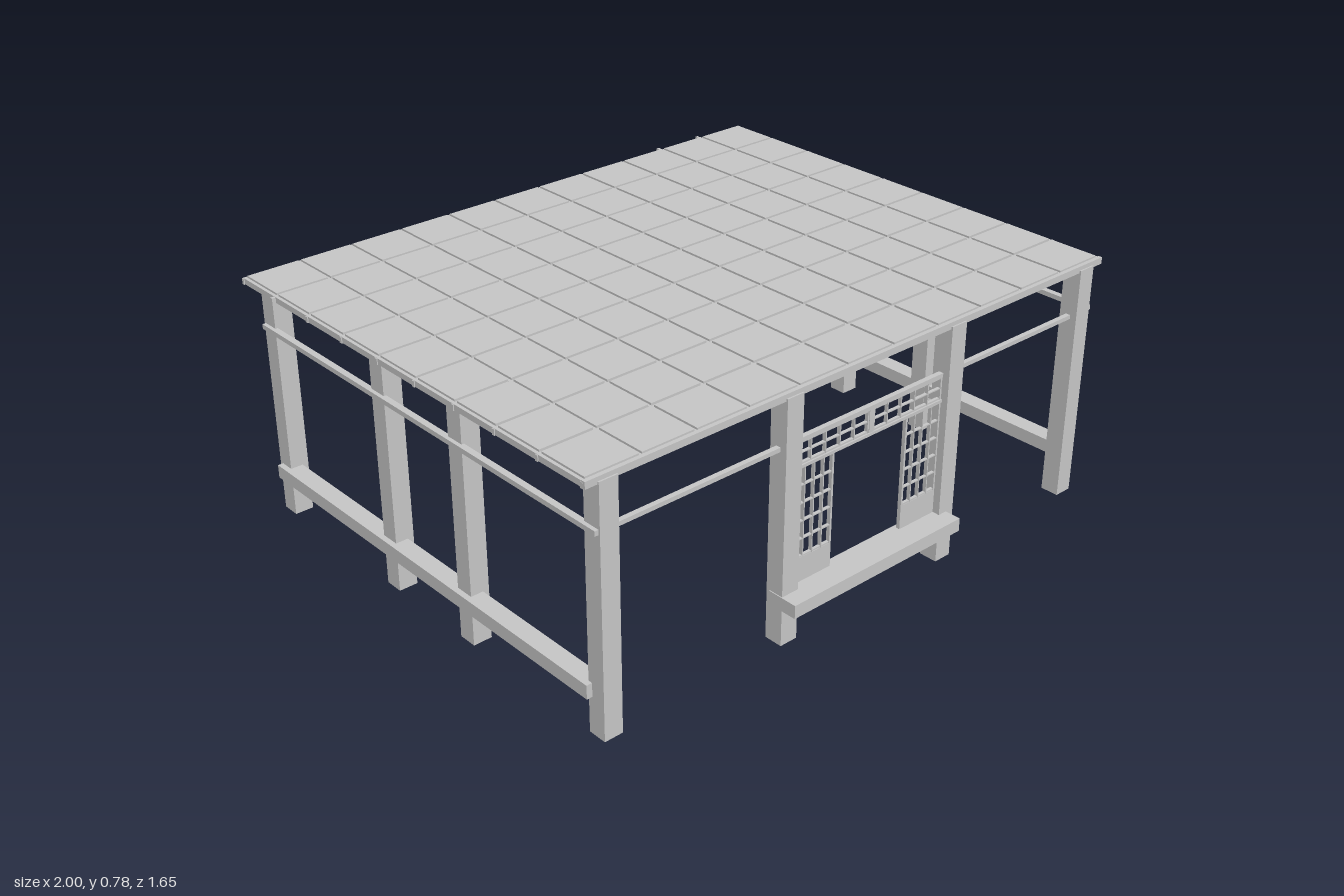
import * as THREE from 'three';

const timber = new THREE.MeshStandardMaterial({ color: 0xc4c4c4 });
timber.name = 'pale grey timber';

// Box given by its low and high corners
function block(parent, name, x0, x1, y0, y1, z0, z1) {
  const mesh = new THREE.Mesh(new THREE.BoxGeometry(x1 - x0, y1 - y0, z1 - z0), timber);
  mesh.position.set((x0 + x1) / 2, (y0 + y1) / 2, (z0 + z1) / 2);
  mesh.name = name;
  parent.add(mesh);
  return mesh;
}

function section(parent, name) {
  const group = new THREE.Group();
  group.name = name;
  parent.add(group);
  return group;
}

// Grid of thin bars with evenly spaced verticals and horizontals
function lattice(parent, name, x0, x1, y0, y1, z, columns, rows) {
  const group = section(parent, name);
  const w = 0.0035, d = 0.006;
  for (let i = 0; i <= columns; i++) {
    const x = THREE.MathUtils.lerp(x0 + w, x1 - w, i / columns);
    const half = i === 0 || i === columns ? w : w / 2;
    block(group, 'verticalBar', x - half, x + half, y0, y1, z - d, z + d);
  }
  for (let j = 0; j <= rows; j++) {
    const y = THREE.MathUtils.lerp(y0 + w, y1 - w, j / rows);
    const half = j === 0 || j === rows ? w : w / 2;
    block(group, 'horizontalBar', x0, x1, y - half, y + half, z - d * 0.8, z + d * 0.8);
  }
}

export function createModel() {
  const model = new THREE.Group();
  model.name = 'timberPavilion';

  // Posts: four down each side, two beside the doorway
  const posts = section(model, 'posts');
  const half = 0.03;
  const post = (name, x, z) => block(posts, name, x - half, x + half, 0, 0.765, z - half, z + half);
  for (const x of [-0.922, 0.915]) {
    for (const z of [0.743, 0.181, -0.179, -0.745]) post('sidePost', x, z);
  }
  for (const x of [-0.297, 0.342]) post('doorPost', x, 0.743);

  // Low beams and thin high rails along the sides
  const beams = section(model, 'beams');
  for (const [inner, outer] of [[-0.912, -0.97], [0.905, 0.963]]) {
    const side = Math.sign(outer);
    const lo = Math.min(inner, outer), hi = Math.max(inner, outer);
    block(beams, 'sideBeam', lo, hi, 0.117, 0.16, -0.762, 0.727);
    const edge = Math.abs(outer) - 0.006;
    const a = side * edge, b = side * (edge - 0.02);
    block(beams, 'sideRail', Math.min(a, b), Math.max(a, b), 0.617, 0.632, -0.768, 0.768);
  }
  block(beams, 'frontRail', -0.92, 0.915, 0.602, 0.615, 0.735, 0.751);
  block(beams, 'doorSill', -0.33, 0.343, 0.118, 0.16, 0.725, 0.826);

  // Doorway: transom over two half-open lattice doors
  const door = section(model, 'doorway');
  block(door, 'lintel', -0.267, 0.313, 0.523, 0.532, 0.733, 0.753);
  lattice(door, 'leftTransom', -0.267, 0.016, 0.53, 0.604, 0.743, 5, 2);
  lattice(door, 'rightTransom', 0.03, 0.313, 0.53, 0.604, 0.743, 5, 2);
  block(door, 'transomPost', 0.014, 0.032, 0.53, 0.604, 0.735, 0.751);
  for (const [x0, x1] of [[-0.267, -0.118], [0.168, 0.313]]) {
    block(door, 'doorPanel', x0, x1, 0.155, 0.237, 0.737, 0.749);
    lattice(door, 'doorLattice', x0, x1, 0.235, 0.525, 0.743, 4, 5);
  }

  // Roof: flat boards in a grid with battens in the gaps
  const roof = section(model, 'roof');
  const columns = 11, rows = 9, gap = 0.005;
  const left = -0.983, right = 0.985, back = -0.803, front = 0.757;
  const colX = i => left + (right - left) * i / columns;
  const rowZ = j => back + (front - back) * j / rows;
  for (let i = 0; i < columns; i++) {
    for (let j = 0; j < rows; j++) {
      block(roof, 'roofBoard', colX(i) + gap, colX(i + 1) - gap, 0.762, 0.781,
        rowZ(j) + gap, rowZ(j + 1) - gap);
    }
  }
  for (let i = 0; i <= columns; i++) {
    const overhang = i === 9 || i === 10 ? 0.022 : 0.004;
    block(roof, 'lengthBatten', colX(i) - gap, colX(i) + gap, 0.757, 0.775, back - overhang, front + 0.006);
  }
  for (let j = 0; j <= rows; j++) {
    const z = rowZ(j);
    const overhang = j === 1 ? 0.017 : 0.008;
    block(roof, 'crossBatten', left - overhang, right + 0.01, 0.756, 0.774, z - gap, z + gap);
  }
  block(roof, 'frontEdge', -0.99, 0.99, 0.757, 0.778, 0.755, 0.768);

  return model;
}
